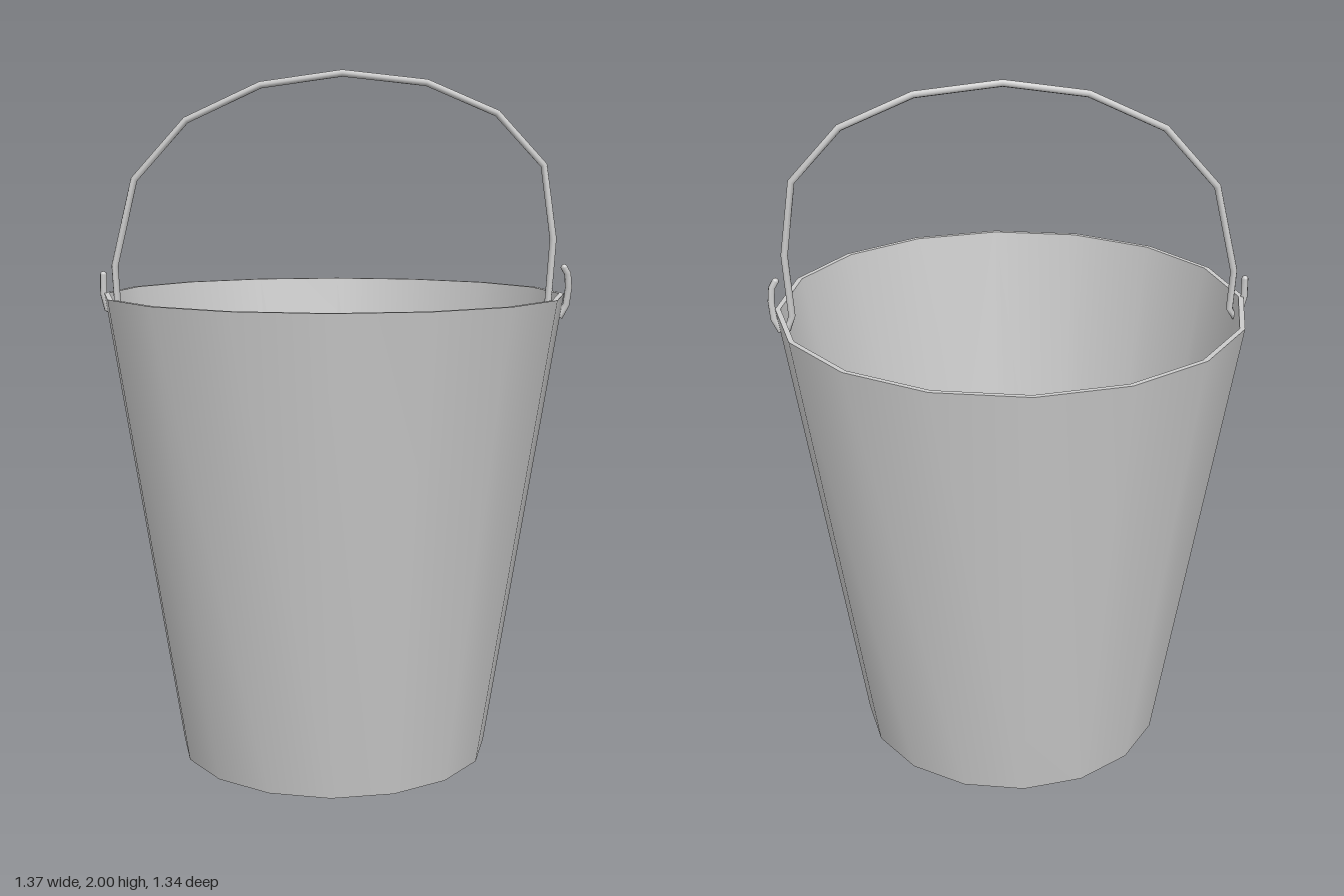
import * as THREE from 'three';
import { toCreasedNormals } from 'three/addons/utils/BufferGeometryUtils.js';

// Bent wire: one ring per listed point, with mitred bends
class BentWire extends THREE.Curve {
  constructor(points) {
    super();
    this.points = points.map((p) => new THREE.Vector3(...p));
  }
  getPoint(t, target = new THREE.Vector3()) {
    const n = this.points.length - 1;
    const i = Math.min(Math.floor(t * n + 1e-9), n - 1);
    return target.lerpVectors(this.points[i], this.points[i + 1], t * n - i);
  }
  getUtoTmapping(u) {
    return u;
  }
}

export function createModel() {
  const model = new THREE.Group();
  model.name = 'bucket';
  const material = new THREE.MeshStandardMaterial({ color: 0xcccccc });
  const add = (name, geometry, parent = model) => {
    const mesh = new THREE.Mesh(geometry, material);
    mesh.name = name;
    parent.add(mesh);
    return mesh;
  };

  // Tapered pail: outside, rim, inside wall and floor in one profile
  const profile = [
    [0, 0], [0.455, 0], [0.671, 1.362], [0.656, 1.362], [0.443, 0.02], [0, 0.02],
  ].map(([r, y]) => new THREE.Vector2(r, y));
  const pail = add('pail', toCreasedNormals(new THREE.LatheGeometry(profile, 16), Math.PI / 6));
  pail.position.x = -0.005;

  // Wire handle: hooked through the wall at both ends, slightly uneven
  const handle = new THREE.Group();
  handle.name = 'handle';
  model.add(handle);
  const radius = 0.01;
  const path = [
    [-0.677, 1.415, 0], [-0.678, 1.36, 0], [-0.667, 1.315, 0], [-0.651, 1.302, 0],
    [-0.637, 1.325, 0], [-0.643, 1.44, 0], [-0.582, 1.69, 0], [-0.43, 1.858, 0],
    [-0.215, 1.957, 0], [0.02, 1.99, 0], [0.262, 1.963, 0], [0.464, 1.877, 0],
    [0.6, 1.73, 0], [0.631, 1.52, 0], [0.62, 1.34, 0], [0.634, 1.3, 0.002],
    [0.656, 1.297, 0.004], [0.672, 1.33, 0.006], [0.677, 1.38, 0.012],
    [0.673, 1.42, 0.017], [0.662, 1.438, 0.02],
  ];
  add('handleWire', new THREE.TubeGeometry(new BentWire(path), path.length - 1, radius, 8), handle);

  // Rounded wire tips
  for (const [name, tip] of [['rightTip', path[0]], ['leftTip', path.at(-1)]]) {
    add(name, new THREE.SphereGeometry(radius, 8, 6), handle).position.set(...tip);
  }
  return model;
}
